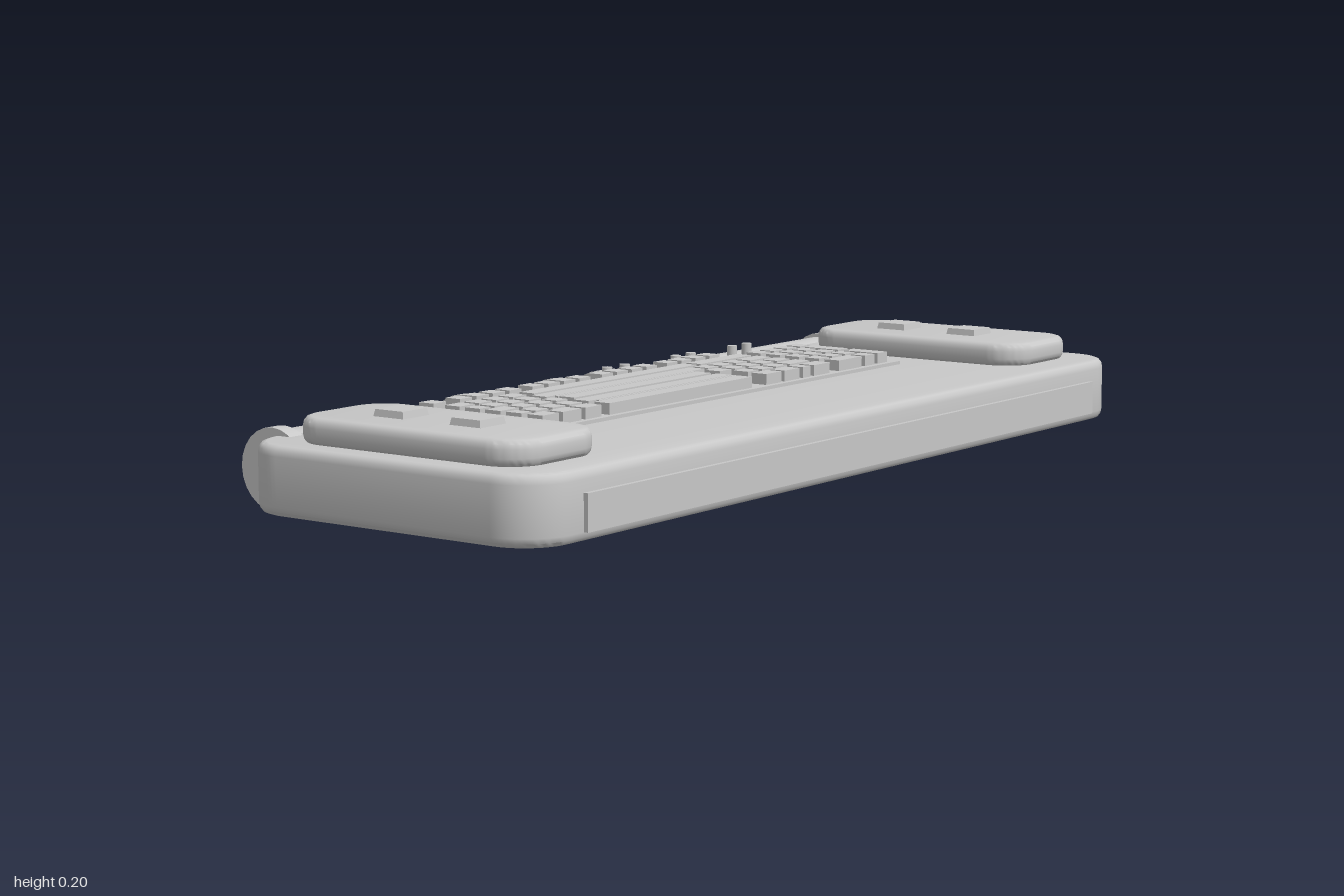
import * as THREE from 'three';
import { toCreasedNormals } from 'three/addons/utils/BufferGeometryUtils.js';

const grey = new THREE.MeshStandardMaterial({ color: 0xc8c8c8 });
grey.name = 'light grey plastic';

function add(parent, name, geometry, x = 0, y = 0, z = 0) {
  const mesh = new THREE.Mesh(geometry, grey);
  mesh.name = name;
  mesh.position.set(x, y, z);
  parent.add(mesh);
}

// Horizontal slab with rounded corners and softened rims, standing on y = 0
function slab(w, d, h, r, inset, rim) {
  const x = w / 2 - inset, z = d / 2 - inset, c = r - inset;
  const s = new THREE.Shape();
  s.moveTo(-x + c, -z);
  s.absarc(x - c, -z + c, c, -Math.PI / 2, 0);
  s.absarc(x - c, z - c, c, 0, Math.PI / 2);
  s.absarc(-x + c, z - c, c, Math.PI / 2, Math.PI);
  s.absarc(-x + c, -z + c, c, Math.PI, Math.PI * 1.5);
  const g = new THREE.ExtrudeGeometry(s, {
    depth: h - 2 * rim, bevelThickness: rim, bevelSize: inset, bevelSegments: 3, curveSegments: 8,
  });
  g.rotateX(-Math.PI / 2).translate(0, rim, 0);
  return toCreasedNormals(g, 0.6);
}

// Square button narrowing towards its top
function taperedButton(size, h, taper) {
  const g = new THREE.CylinderGeometry(size * taper / Math.SQRT2, size / Math.SQRT2, h, 4, 1);
  return toCreasedNormals(g.rotateY(Math.PI / 4), 0.3);
}

export function createModel() {
  const model = new THREE.Group();
  model.name = 'keyboardConsole';

  // Main body and front strip
  add(model, 'body', slab(2, 0.69, 0.127, 0.1, 0.014, 0.018), 0, 0.014, 0.035);
  add(model, 'frontStrip', new THREE.BoxGeometry(1.74, 0.068, 0.03), 0, 0.066, 0.374);

  // Raised side pads with two buttons each
  for (const side of [-1, 1]) {
    const pad = new THREE.Group();
    pad.name = side < 0 ? 'rightPad' : 'leftPad';
    pad.position.x = side * 0.823;
    model.add(pad);
    add(pad, 'padBase', slab(0.25, 0.536, 0.05, 0.075, 0.014, 0.017), 0, 0.138, 0.034);
    for (const z of [-0.07, 0.108]) {
      add(pad, 'padButton', taperedButton(0.072, 0.018, 0.9), 0, 0.192, z);
    }
  }

  // Rear tube with clamp rings
  const tube = new THREE.CylinderGeometry(0.069, 0.069, 1.79, 32).rotateZ(Math.PI / 2);
  add(model, 'rearTube', tube, 0, 0.078, -0.31);
  const ring = new THREE.CylinderGeometry(0.077, 0.077, 0.033, 24).rotateZ(Math.PI / 2);
  for (const x of [-0.887, -0.362, -0.08, 0.075, 0.36, 0.883]) {
    add(model, 'tubeRing', ring, x, 0.078, -0.31);
  }

  // Key panel
  add(model, 'keyPanel', new THREE.BoxGeometry(1.212, 0.012, 0.325), 0, 0.142, -0.092);
  const keys = new THREE.Group();
  keys.name = 'keys';
  model.add(keys);
  const key = (x0, x1, z, d = 0.036, name = 'key') =>
    add(keys, name, new THREE.BoxGeometry(x1 - x0, 0.026, d), (x0 + x1) / 2, 0.157, z);

  // Top row: one single key, then four blocks of four
  key(-0.581, -0.545, -0.222);
  for (const start of [-0.505, -0.288, -0.068, 0.15]) {
    for (let i = 0; i < 4; i++) key(start + i * 0.049, start + i * 0.049 + 0.036, -0.222);
  }

  // Main rows: staggered keys, a long bar, then more keys
  const rowZ = [-0.158, -0.109, -0.06, -0.01, 0.04];
  const rows = [
    { left: [-0.581, -0.525, -0.475, -0.425, -0.372], bar: [-0.362, 0.165], right: [0.178, 0.37] },
    { left: [-0.581, -0.538, -0.488, -0.438, -0.39], bar: [-0.385, 0.125], right: [0.137, 0.185, 0.235, 0.285, 0.37] },
    { left: [-0.581, -0.515, -0.465, -0.415, -0.37], bar: [-0.362, 0.08], right: [0.11, 0.162, 0.212, 0.262, 0.312, 0.37] },
    { left: [-0.581, -0.54, -0.49, -0.44, -0.39], bar: [-0.382, 0.08], right: [0.137, 0.187, 0.237, 0.287, 0.37] },
    { left: [-0.581, -0.522, -0.455, -0.395], bar: [-0.382, 0.08], right: [0.13, 0.195, 0.26, 0.3, 0.37] },
  ];
  rows.forEach((row, r) => {
    for (const edges of [row.left, row.right]) {
      for (let i = 0; i < edges.length - 1; i++) key(edges[i], edges[i + 1] - 0.012, rowZ[r]);
    }
    key(row.bar[0], row.bar[1], rowZ[r], 0.036, 'longKey');
  });

  // Thin bars between the rows
  for (const z of [-0.085, 0.015]) key(-0.362, 0.08, z, 0.008, 'thinBar');

  // Number pad with a wide bottom key and two tall keys
  for (let r = 0; r < 5; r++) {
    for (let c = 0; c < 4; c++) {
      if ((c === 3 && r > 0) || (r === 4 && c === 1)) continue;
      const x = 0.393 + c * 0.049;
      key(x, x + (r === 4 && c === 0 ? 0.085 : 0.036), rowZ[r]);
    }
  }
  for (const z of [-0.085, 0.015]) key(0.54, 0.576, z, 0.085, 'tallKey');

  // Small round knobs along the rear edge
  const knob = new THREE.CylinderGeometry(0.011, 0.011, 0.03, 12);
  for (const x of [0.048, 0.107, 0.283, 0.337, 0.487, 0.541]) {
    add(model, 'knob', knob, x, 0.152, -0.281);
  }

  return model;
}
